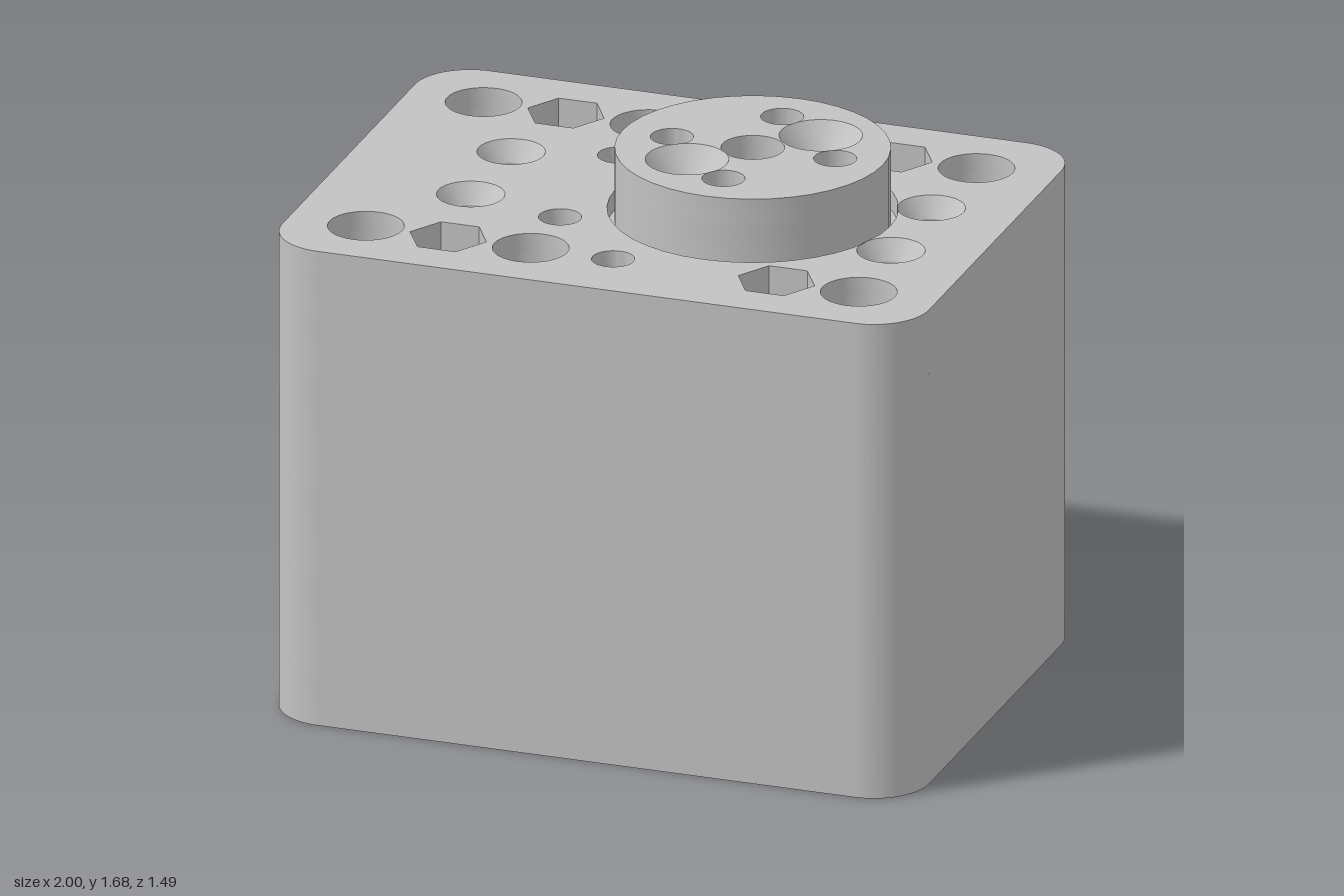
import * as THREE from 'three';
import { toCreasedNormals } from 'three/addons/utils/BufferGeometryUtils.js';

const HALF_X = 1, HALF_Z = 0.745, CORNER = 0.17;
const TOP = 1.49, DISC_TOP = 1.68, SEAT = 1.43;

// A hole is { x, z, r, hex }
const hole = (x, z, r, hex = false) => ({ x, z, r, hex });
const pairs = (xs, z, r, hex) => xs.flatMap(x => [hole(x, -z, r, hex), hole(x, z, r, hex)]);

function holePath({ x, z, r, hex }) {
  const path = new THREE.Path();
  if (hex) {
    for (let i = 0; i <= 6; i++) {
      const a = i * Math.PI / 3, px = x + r * Math.cos(a), py = -z + r * Math.sin(a);
      if (i) path.lineTo(px, py); else path.moveTo(px, py);
    }
  } else path.absarc(x, -z, r, 0, Math.PI * 2, true);
  return path;
}

// Rounded rectangle, optionally notched from the -x side for the cable window
function blockShape(notch) {
  const s = new THREE.Shape(), cx = HALF_X - CORNER, cz = HALF_Z - CORNER;
  s.absarc(cx, cz, CORNER, 0, Math.PI / 2);
  s.absarc(-cx, cz, CORNER, Math.PI / 2, Math.PI);
  if (notch) {
    s.lineTo(-HALF_X, 0.21);
    s.lineTo(-0.3, 0.21);
    s.lineTo(-0.3, -0.21);
    s.lineTo(-HALF_X, -0.21);
  }
  s.absarc(-cx, -cz, CORNER, Math.PI, Math.PI * 1.5);
  s.absarc(cx, -cz, CORNER, Math.PI * 1.5, Math.PI * 2);
  s.closePath();
  return s;
}

function slab(name, shape, holes, y0, y1, material) {
  shape.holes = holes.map(holePath);
  const raw = new THREE.ExtrudeGeometry(shape, { depth: y1 - y0, bevelEnabled: false, curveSegments: 20 });
  raw.rotateX(-Math.PI / 2);
  const mesh = new THREE.Mesh(toCreasedNormals(raw, 0.5), material);
  mesh.position.y = y0;
  mesh.name = name;
  return mesh;
}

// Conical seat facing up and inward
function countersink(name, x, z, rTop, rBottom, y, depth, material) {
  const profile = [new THREE.Vector2(rTop, 0), new THREE.Vector2(rBottom, -depth)];
  const mesh = new THREE.Mesh(new THREE.LatheGeometry(profile, 40), material);
  mesh.position.set(x, y, z);
  mesh.name = name;
  return mesh;
}

export function createModel() {
  const group = new THREE.Group();
  group.name = 'motorBlock';
  const grey = new THREE.MeshStandardMaterial({ color: 0xc2c2c2 });
  grey.name = 'light grey';

  // Hole sets
  const through = [...pairs([-0.765, -0.255, 0.76], 0.51, 0.112), ...pairs([0], 0.51, 0.063)];
  const boltX = [-0.51, 0.505];
  const counterbores = pairs(boltX, 0.51, 0.112);
  const boltBores = pairs(boltX, 0.51, 0.063);
  const nutPockets = pairs(boltX, 0.51, 0.118, true);
  const smallBores = pairs([-0.255], 0.255, 0.063);
  const screwX = [-0.56, 0.74];
  const screwBores = pairs(screwX, 0.175, 0.062);
  const discSeat = hole(0.25, 0, 0.425);

  // Body, stacked wherever the openings change
  const layers = [
    ['base', 0, 0.16, false, [...through, ...counterbores]],
    ['windowLayer', 0.16, 0.47, true, [...through, ...counterbores]],
    ['lowerBody', 0.47, 0.75, false, [...through, ...counterbores]],
    ['middleBody', 0.75, 1.1, false, [...through, ...boltBores]],
    ['upperBody', 1.1, 1.29, false, [...through, ...boltBores, ...smallBores, ...screwBores]],
    ['nutLayer', 1.29, SEAT, false, [...through, ...nutPockets, ...smallBores, ...screwBores]],
    ['topPlate', SEAT, TOP, false,
      [...through, ...nutPockets, ...smallBores, ...pairs(screwX, 0.175, 0.1), discSeat]],
  ];
  for (const [name, y0, y1, notch, holes] of layers)
    group.add(slab(name, blockShape(notch), holes, y0, y1, grey));

  // Screw seats in the top plate
  for (const { x, z } of screwBores)
    group.add(countersink('screwSeat', x, z, 0.1, 0.062, TOP, TOP - SEAT, grey));

  // Turning disc with four small holes, a stepped centre and two screw seats
  const discShape = () => new THREE.Shape().absarc(0.25, 0, 0.403, 0, Math.PI * 2);
  const pegs = [hole(0, 0, 0.063), hole(0.505, 0, 0.063), ...pairs([0.25], 0.255, 0.063)];
  const discScrews = [[0.405, -0.155], [0.1, 0.15]];
  const discAt = r => discScrews.map(([x, z]) => hole(x, z, r));
  const step = DISC_TOP - 0.08;
  group.add(slab('discLower', discShape(), [...pegs, ...discAt(0.065), hole(0.25, 0, 0.042)], SEAT, step, grey));
  group.add(slab('discUpper', discShape(), [...pegs, ...discAt(0.122), hole(0.25, 0, 0.093)], step, DISC_TOP, grey));
  for (const [x, z] of discScrews)
    group.add(countersink('discScrewSeat', x, z, 0.122, 0.065, DISC_TOP, 0.08, grey));

  return group;
}
